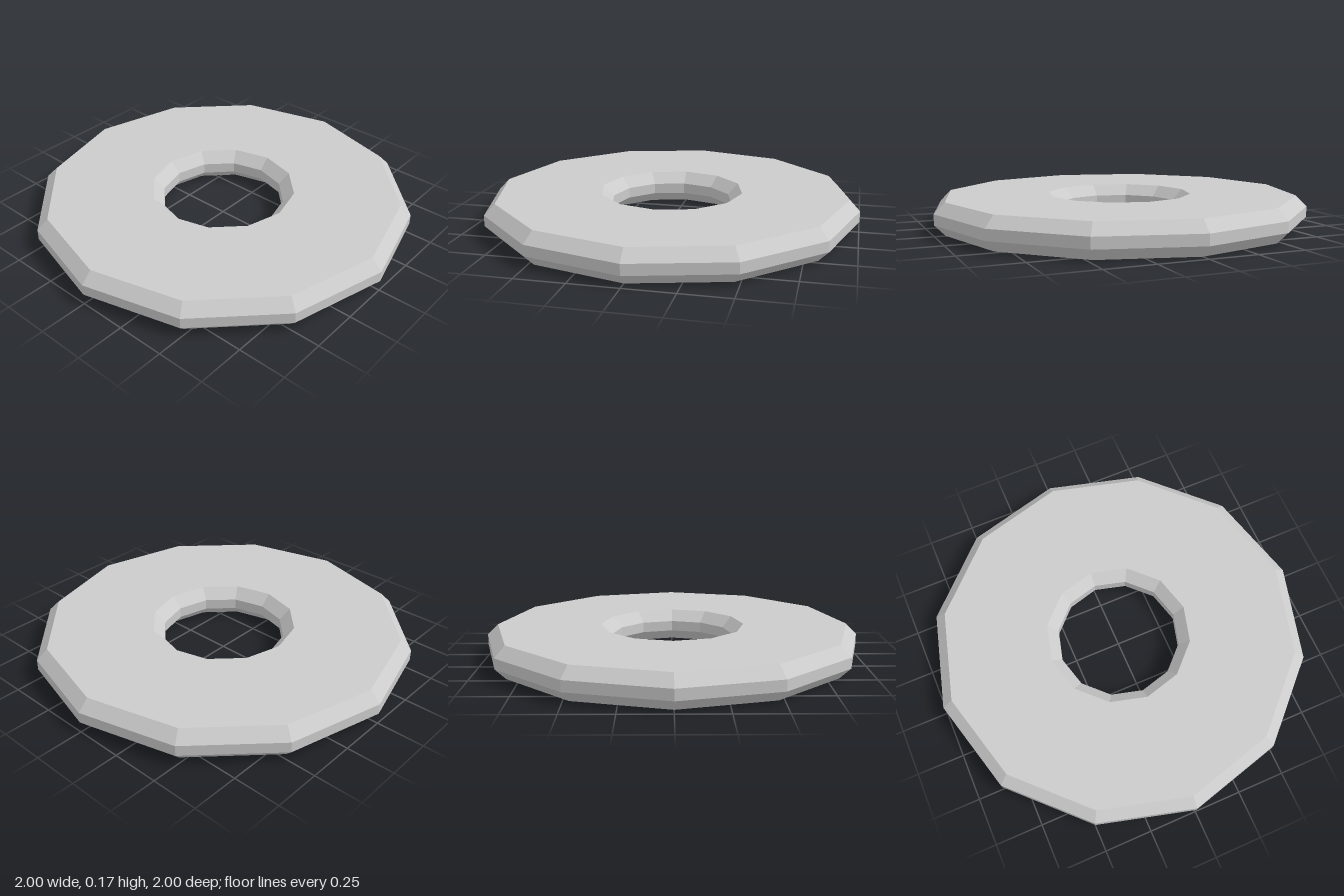
import * as THREE from 'three';

export function createModel() {
  const group = new THREE.Group();
  const material = new THREE.MeshStandardMaterial({ color: 0xcccccc, flatShading: true });

  const sides = 12;
  const outer = 1, inner = 0.327, height = 0.17, bevel = 0.057;

  // Closed chamfered cross-section, counter-clockwise from the bottom inner edge
  const profile = [
    [inner + bevel, 0],
    [outer - bevel, 0],
    [outer, bevel],
    [outer, height - bevel],
    [outer - bevel, height],
    [inner + bevel, height],
    [inner, height - bevel],
    [inner, bevel],
    [inner + bevel, 0],
  ].map(([r, y]) => new THREE.Vector2(r, y));

  // Flat twelve-sided ring with a central hole
  const ring = new THREE.Mesh(new THREE.LatheGeometry(profile, sides), material);
  ring.name = 'bevelledRing';
  group.add(ring);

  return group;
}
